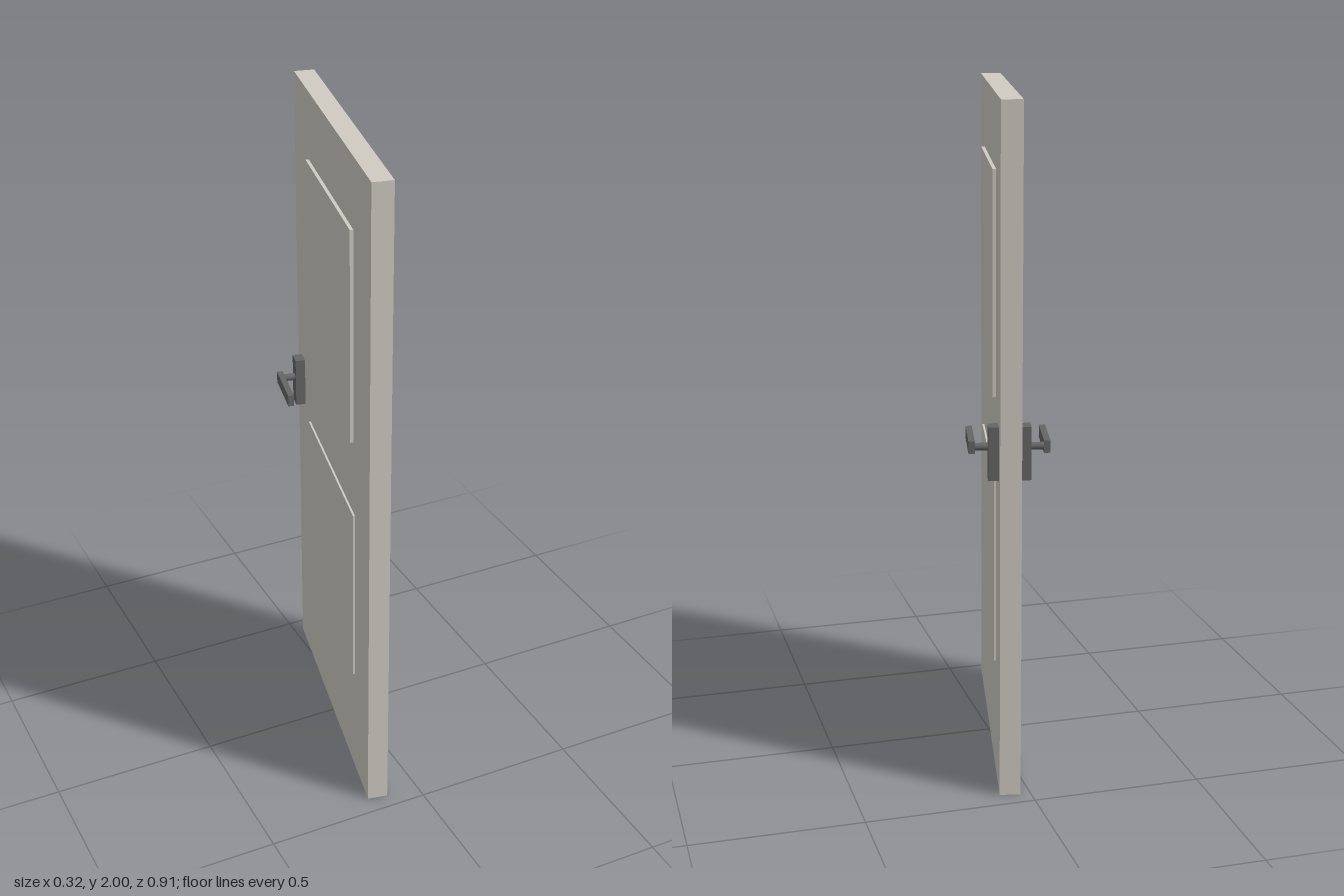
import * as THREE from 'three';

export function createModel() {
  const paint = new THREE.MeshStandardMaterial({ color: 0xd0ccc3 });
  paint.name = 'warm off-white paint';
  const metal = new THREE.MeshStandardMaterial({ color: 0x666666 });
  metal.name = 'dark grey metal';

  const add = (parent, name, geometry, material, x, y, z) => {
    const mesh = new THREE.Mesh(geometry, material);
    mesh.name = name;
    mesh.position.set(x, y, z);
    parent.add(mesh);
    return mesh;
  };
  const box = (w, h, d) => new THREE.BoxGeometry(w, h, d);

  // The door runs along its own z axis and is swung 12 degrees open
  const door = new THREE.Group();
  door.name = 'door';
  door.position.x = -0.035;
  door.rotation.y = THREE.MathUtils.degToRad(-12);

  const half = 0.0305;
  add(door, 'slab', box(half * 2, 2, 0.915), paint, 0, 1, 0);

  for (const side of [1, -1]) {
    const label = side > 0 ? 'left' : 'right';

    // Raised panels: [name, height above slab, bottom, top, width]
    for (const [name, rise, bottom, top, width] of [
      ['UpperPanel', 0.01, 1.147, 1.795, 0.54],
      ['LowerPanel', 0.006, 0.35, 0.915, 0.58],
    ]) {
      add(door, label + name, box(rise, top - bottom, width), paint,
        side * (half + rise / 2), (top + bottom) / 2, 0);
    }

    // Lever handle: back plate, round neck and lever pointing to the hinge side
    const handle = new THREE.Group();
    handle.name = label + 'Handle';
    add(handle, 'backPlate', box(0.03, 0.155, 0.045), metal, side * 0.0455, 1.018, -0.384);
    const neck = add(handle, 'neck', new THREE.CylinderGeometry(0.011, 0.011, 0.045, 16), metal,
      side * 0.0805, 1.033, -0.379);
    neck.rotation.z = Math.PI / 2;
    add(handle, 'lever', box(0.018, 0.036, 0.168), metal, side * 0.106, 1.033, -0.306);
    door.add(handle);
  }

  const model = new THREE.Group();
  model.name = 'panelledDoor';
  model.add(door);
  return model;
}
